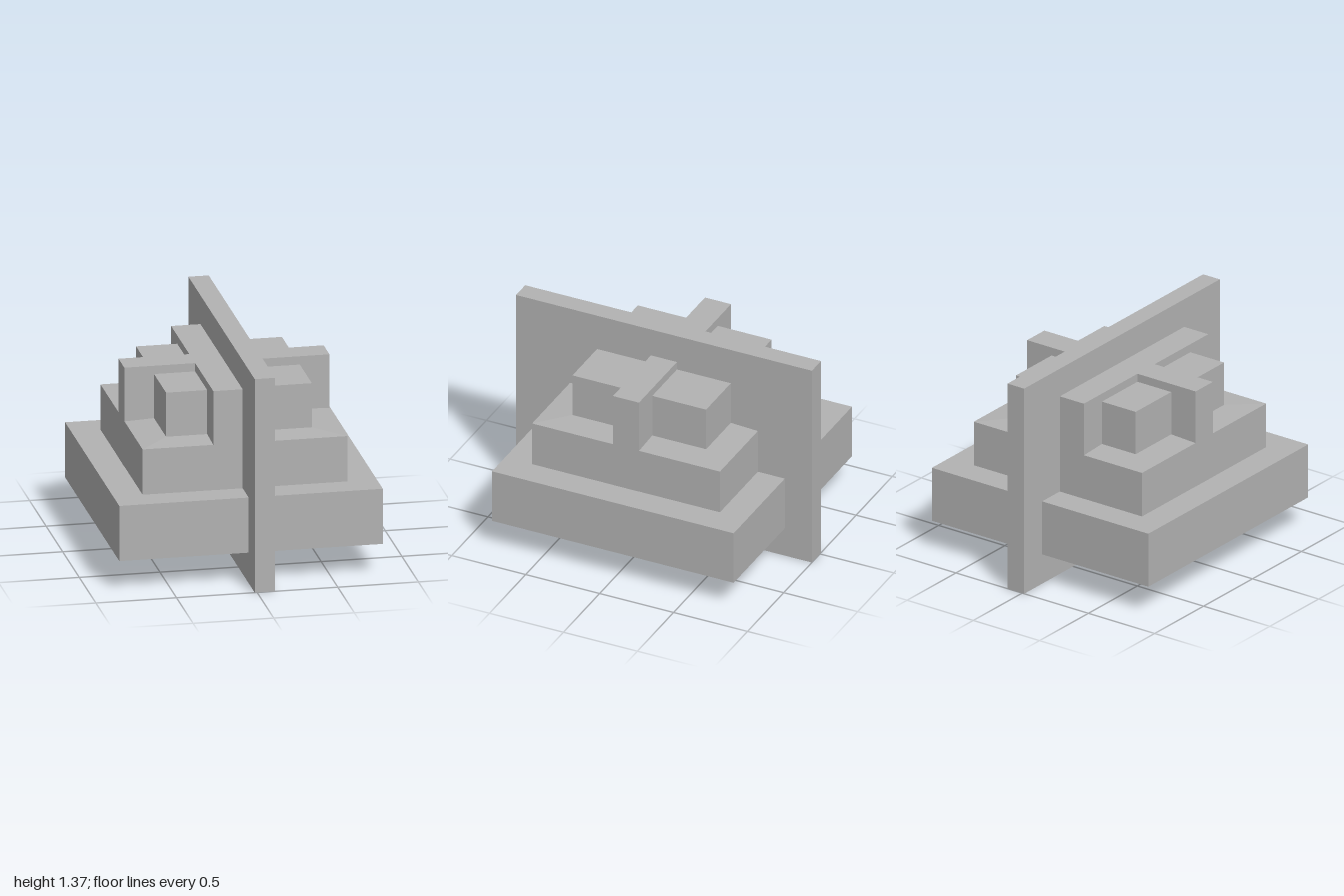
import * as THREE from 'three';

export function createModel() {
  const group = new THREE.Group();
  const grey = new THREE.MeshStandardMaterial({ color: 0xb2b2b2 });
  grey.name = 'plain grey';

  // Box given by its limits on each axis
  const block = (name, [x0, x1], [y0, y1], [z0, z1]) => {
    const mesh = new THREE.Mesh(new THREE.BoxGeometry(x1 - x0, y1 - y0, z1 - z0), grey);
    mesh.position.set((x0 + x1) / 2, (y0 + y1) / 2, (z0 + z1) / 2);
    mesh.name = name;
    group.add(mesh);
  };

  // Stepped tiers
  block('baseTier', [-0.817, 0.817], [0.196, 0.549], [-0.817, 0.817]);
  block('middleTier', [-0.635, 0.635], [0.5, 0.839], [-0.635, 0.635]);
  block('topTier', [-0.452, 0.452], [0.8, 1.13], [-0.452, 0.452]);

  // Very shallow sloped cap on the middle tier
  const capGeometry = new THREE.CylinderGeometry(
    0.452 * Math.SQRT2, 0.635 * Math.SQRT2, 0.009, 4, 1, true
  ).rotateY(Math.PI / 4).toNonIndexed();
  capGeometry.computeVertexNormals();
  const cap = new THREE.Mesh(capGeometry, grey);
  cap.position.y = 0.8435;
  cap.name = 'slopedCap';
  group.add(cap);

  // Walls: narrow cross wall, thick wall beside the fin, tall fin
  block('crossWall', [-0.636, 0.636], [0.186, 1.183], [-0.088, 0.088]);
  block('sideWall', [-0.197, 0.0], [0.5, 1.183], [-0.636, 0.636]);
  block('tallFin', [-0.015, 0.111], [0, 1.367], [-1, 1]);

  return group;
}
